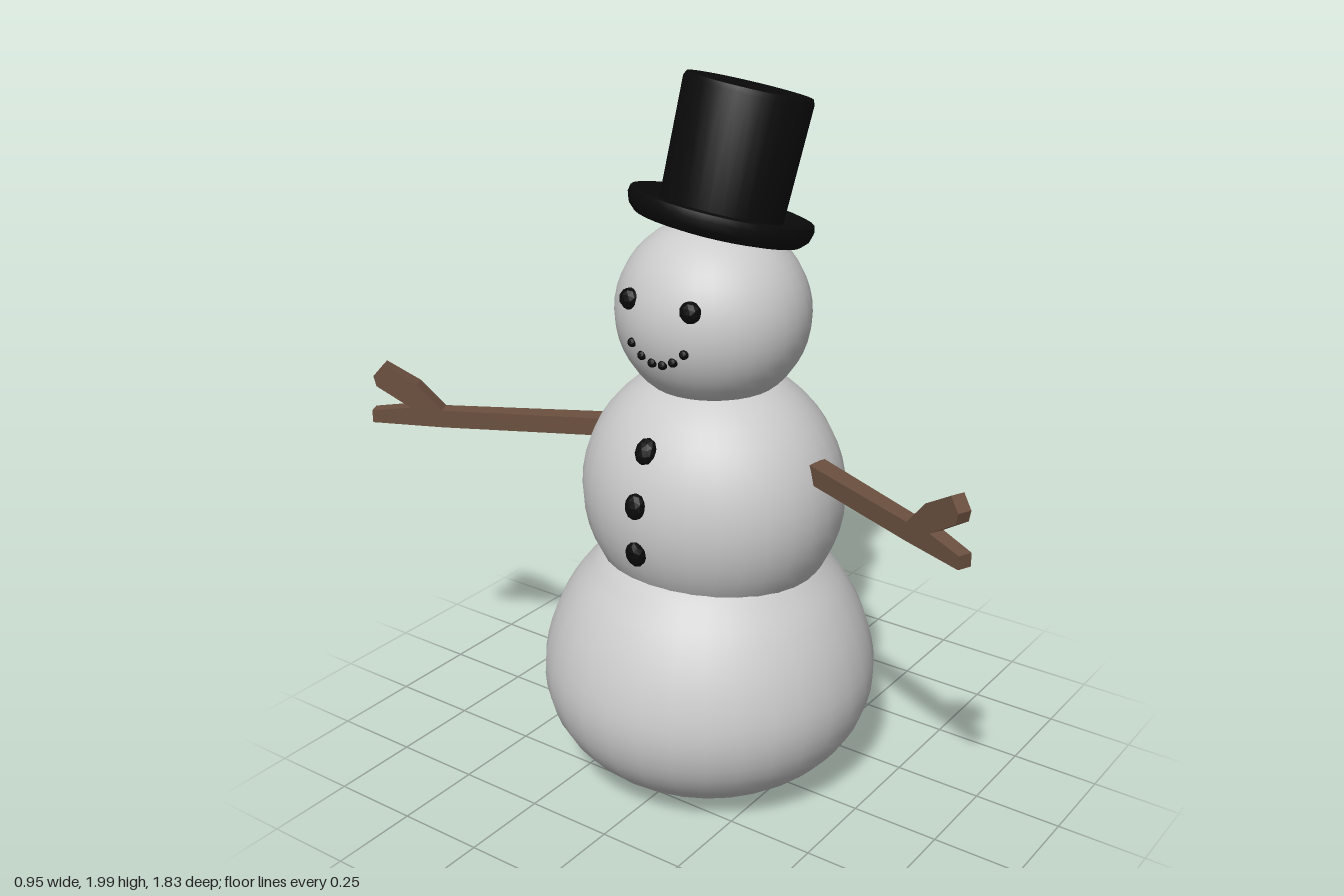
import * as THREE from 'three';
import { toCreasedNormals } from 'three/addons/utils/BufferGeometryUtils.js';

const snow = new THREE.MeshStandardMaterial({ color: 0xcccccc });
const black = new THREE.MeshStandardMaterial({ color: 0x0a0a0a });
const coal = new THREE.MeshStandardMaterial({ color: 0x0a0a0a, flatShading: true });
const wood = new THREE.MeshStandardMaterial({ color: 0x6b5040, flatShading: true });

const points = (list) => list.map(([x, y]) => new THREE.Vector2(x, y));

function add(parent, name, geometry, material, position = [0, 0, 0]) {
  const mesh = new THREE.Mesh(geometry, material);
  mesh.name = name;
  mesh.position.set(...position);
  parent.add(mesh);
  return mesh;
}

// Forked stick arm running from a shoulder point to a hand point (x, z)
function addArm(parent, name, [x0, z0], [x1, z1]) {
  const dx = x1 - x0, dz = z1 - z0;
  const L = Math.hypot(dx, dz);
  const k = L / Math.abs(dz);
  const outline = points([
    [0, 0.975], [L - 0.18 * k, 0.975], [L, 0.98], [L, 1.016],
    [L - 0.1 * k, 1.03], [L - 0.016 * k, 1.09], [L - 0.01 * k, 1.12],
    [L - 0.037 * k, 1.155], [L - 0.12 * k, 1.1], [L - 0.18 * k, 1.026], [0, 1.026],
  ]);
  const geo = new THREE.ExtrudeGeometry(new THREE.Shape(outline), { depth: 1, bevelEnabled: false });
  // Thin the stick towards the hand
  const p = geo.attributes.position;
  for (let i = 0; i < p.count; i++) {
    const width = 0.058 - 0.02 * (p.getX(i) / L);
    p.setZ(i, (p.getZ(i) - 0.5) * width);
  }
  geo.computeVertexNormals();
  const arm = add(parent, name, geo, wood, [x0, 0, z0]);
  arm.rotation.y = Math.atan2(-dz, dx);
}

export function createModel() {
  const model = new THREE.Group();
  model.name = 'snowman';

  // Sagging bottom ball with a flattened base
  const base = new THREE.SplineCurve(points([
    [0, 0.008], [0.15, 0.013], [0.26, 0.035], [0.345, 0.08], [0.415, 0.15], [0.457, 0.23],
    [0.473, 0.32], [0.462, 0.41], [0.432, 0.5], [0.385, 0.585], [0.335, 0.645],
    [0.29, 0.69], [0.18, 0.75], [0, 0.78],
  ])).getPoints(28);
  base[0].x = base[base.length - 1].x = 0;
  add(model, 'bottomBall', new THREE.LatheGeometry(base, 32), snow);

  // Middle ball and head
  const ball = new THREE.SphereGeometry(1, 32, 24);
  add(model, 'middleBall', ball, snow, [0.008, 0.87, 0.008]).scale.set(0.345, 0.368, 0.373);
  const headAt = [0, 1.38, 0.012], headSize = [0.256, 0.255, 0.266];
  add(model, 'head', ball, snow, headAt).scale.set(...headSize);

  // Tilted top hat with a rounded, slightly upturned brim
  const hatProfile = points([
    [0, -0.025], [0.19, -0.032], [0.225, -0.026], [0.243, -0.008], [0.25, 0.015],
    [0.246, 0.033], [0.23, 0.037], [0.205, 0.026], [0.166, 0.022],
    [0.173, 0.335], [0.167, 0.348], [0, 0.35],
  ]);
  const hatGeo = toCreasedNormals(new THREE.LatheGeometry(hatProfile, 32), 0.8);
  const hat = add(model, 'topHat', hatGeo, black, [0.047, 1.62, 0]);
  hat.quaternion.setFromUnitVectors(
    new THREE.Vector3(0, 1, 0), new THREE.Vector3(0.226, 1, 0.12).normalize());

  // Coal lumps: the face and buttons look towards -x
  const lump = new THREE.IcosahedronGeometry(1, 1);
  const faceX = (y, z) => headAt[0] - headSize[0] * Math.sqrt(
    1 - ((y - headAt[1]) / headSize[1]) ** 2 - ((z - headAt[2]) / headSize[2]) ** 2);

  for (const [name, z] of [['rightEye', 0.102], ['leftEye', -0.092]]) {
    add(model, name, lump, coal, [faceX(1.45, z) + 0.002, 1.45, z]).scale.set(0.025, 0.03, 0.03);
  }

  const mouth = new THREE.Group();
  mouth.name = 'mouth';
  model.add(mouth);
  for (let i = 0; i < 6; i++) {
    const t = (i - 2.5) / 2.5;
    const y = 1.297 + 0.043 * t * t, z = 0.008 + 0.083 * t;
    add(mouth, 'mouthCoal', lump, coal, [faceX(y, z), y, z]).scale.setScalar(0.013);
  }

  const buttons = new THREE.Group();
  buttons.name = 'buttons';
  model.add(buttons);
  for (const [x, y, lean] of [[-0.287, 1.07, -0.55], [-0.336, 0.931, -0.15], [-0.337, 0.794, 0.2]]) {
    const button = add(buttons, 'button', lump, coal, [x, y, 0]);
    button.scale.set(0.022, 0.037, 0.03);
    button.rotation.z = lean;
  }

  // Stick arms
  addArm(model, 'rightArm', [0, 0.34], [-0.25, 0.905]);
  addArm(model, 'leftArm', [-0.055, -0.31], [-0.375, -0.905]);

  return model;
}
